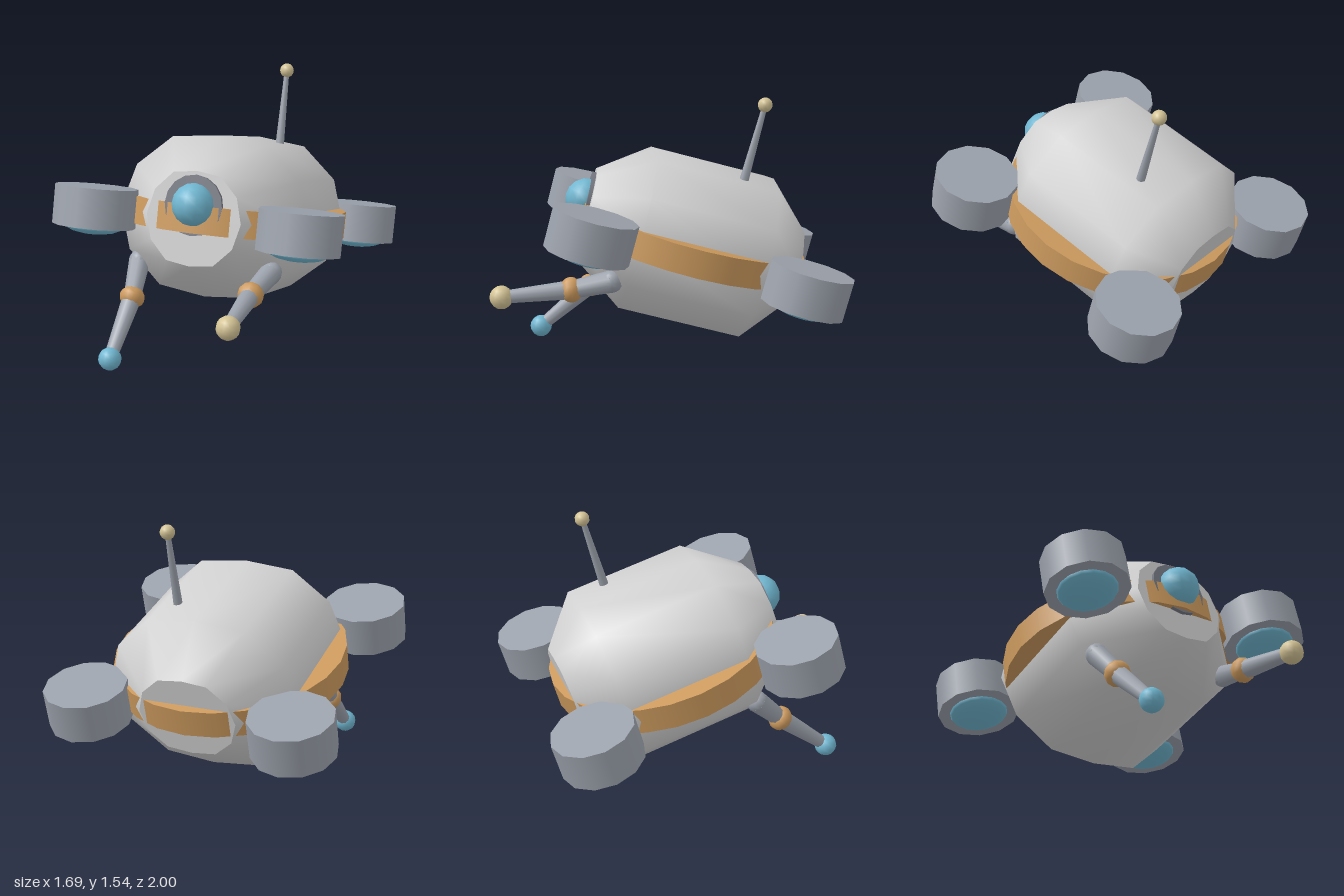
import * as THREE from 'three';

const mat = (name, color) => {
  const m = new THREE.MeshStandardMaterial({ color });
  m.name = name;
  return m;
};

// Hull built from four flattened twelve-sided rings along z, with flat end caps
function hullGeometry() {
  const N = 12, pos = [], idx = [];
  const rings = [[-0.65, 0.5, 0.5], [-0.415, 1, 1], [0.3, 1, 1], [0.595, 0.487, 0.57]];
  const addRing = ([z, sx, sy]) => {
    const start = pos.length / 3;
    for (let i = 0; i < N; i++) {
      const a = (i / N) * Math.PI * 2;
      const y = THREE.MathUtils.clamp(0.5 * Math.cos(a), -0.465, 0.465);
      pos.push(0.575 * Math.sin(a) * sx, y * sy, z);
    }
    return start;
  };
  const starts = rings.map(addRing);
  for (let r = 0; r < 3; r++) {
    for (let i = 0; i < N; i++) {
      const j = (i + 1) % N;
      const a = starts[r] + i, b = starts[r] + j, c = starts[r + 1] + i, d = starts[r + 1] + j;
      idx.push(a, c, b, b, c, d);
    }
  }
  // caps get their own vertices so their rims stay sharp
  for (const [ring, front] of [[rings[0], false], [rings[3], true]]) {
    const s = addRing(ring), centre = pos.length / 3;
    pos.push(0, 0, ring[0]);
    for (let i = 0; i < N; i++) {
      const j = (i + 1) % N;
      idx.push(centre, s + (front ? j : i), s + (front ? i : j));
    }
  }
  const g = new THREE.BufferGeometry();
  g.setAttribute('position', new THREE.Float32BufferAttribute(pos, 3));
  g.setIndex(idx);
  g.computeVertexNormals();
  return g;
}

export function createModel() {
  const shell = mat('shell light grey', 0xd0d0d0);
  const grey = mat('metal grey', 0x9ca2ac);
  const dark = mat('dark grey', 0x797b85);
  const orange = mat('orange', 0xcc9a5e);
  const blue = mat('glass blue', 0x70b6d0);
  const cream = mat('cream', 0xd2c294);

  const model = new THREE.Group();
  model.name = 'hoverDrone';

  const add = (parent, name, geometry, material, x = 0, y = 0, z = 0) => {
    const m = new THREE.Mesh(geometry, material);
    m.name = name;
    m.position.set(x, y, z);
    parent.add(m);
    return m;
  };
  const ball = (r) => new THREE.SphereGeometry(r, 12, 8);

  // Everything but the arms is pitched nose-up
  const body = new THREE.Group();
  body.name = 'body';
  body.position.set(0, 0.705, -0.12);
  body.rotation.x = -Math.PI / 12;
  model.add(body);

  add(body, 'hull', hullGeometry(), shell);
  add(body, 'belt', new THREE.CylinderGeometry(0.67, 0.67, 0.155, 24), orange, 0, 0, -0.035);

  // Eye
  const socket = add(body, 'eyeSocket', new THREE.CylinderGeometry(0.17, 0.17, 0.06, 16), dark, 0, 0.075, 0.585);
  socket.rotation.x = Math.PI / 2;
  add(body, 'eye', ball(0.12), blue, 0, 0.08, 0.615);

  // Antenna
  add(body, 'antennaRod', new THREE.CylinderGeometry(0.015, 0.027, 0.46, 8), grey, 0.195, 0.65, -0.214);
  add(body, 'antennaTip', ball(0.042), cream, 0.195, 0.88, -0.214);

  // Four thrusters with glowing undersides
  for (const side of [1, -1]) {
    for (const z of [0.572, -0.643]) {
      const pod = new THREE.Group();
      pod.name = 'thruster';
      pod.position.set(side * 0.61, 0, z);
      body.add(pod);
      add(pod, 'thrusterCasing', new THREE.CylinderGeometry(0.237, 0.237, 0.225, 12), grey);
      add(pod, 'thrusterGlow', new THREE.SphereGeometry(0.172, 16, 8), blue, 0, -0.108, 0).scale.y = 0.3;
    }
  }

  // Arms: shoulder, elbow and hand joined by tapered limbs
  const UP = new THREE.Vector3(0, 1, 0);
  const limb = (parent, name, from, to, r0, r1) => {
    const dir = to.clone().sub(from);
    const mid = from.clone().add(to).multiplyScalar(0.5);
    const m = add(parent, name, new THREE.CylinderGeometry(r1, r0, dir.length(), 10), grey, mid.x, mid.y, mid.z);
    m.quaternion.setFromUnitVectors(UP, dir.normalize());
    return m;
  };
  const arm = (name, shoulder, elbow, hand, handMaterial) => {
    const g = new THREE.Group();
    g.name = name;
    model.add(g);
    const [s, e, h] = [shoulder, elbow, hand].map((p) => new THREE.Vector3(...p));
    add(g, 'shoulder', ball(0.063), grey, ...shoulder);
    limb(g, 'upperArm', s, e, 0.063, 0.05);
    const joint = add(g, 'elbow', ball(0.074), orange, ...elbow);
    const forearm = limb(g, 'forearm', e, h, 0.056, 0.037);
    joint.quaternion.copy(forearm.quaternion);
    joint.scale.y = 0.85;
    add(g, 'hand', ball(0.066), handMaterial, ...hand);
  };
  arm('leftArm', [0.41, 0.55, 0.32], [0.372, 0.497, 0.545], [0.39, 0.465, 0.932], cream);
  arm('rightArm', [-0.42, 0.49, 0.265], [-0.395, 0.325, 0.43], [-0.395, 0.07, 0.738], blue);

  return model;
}
